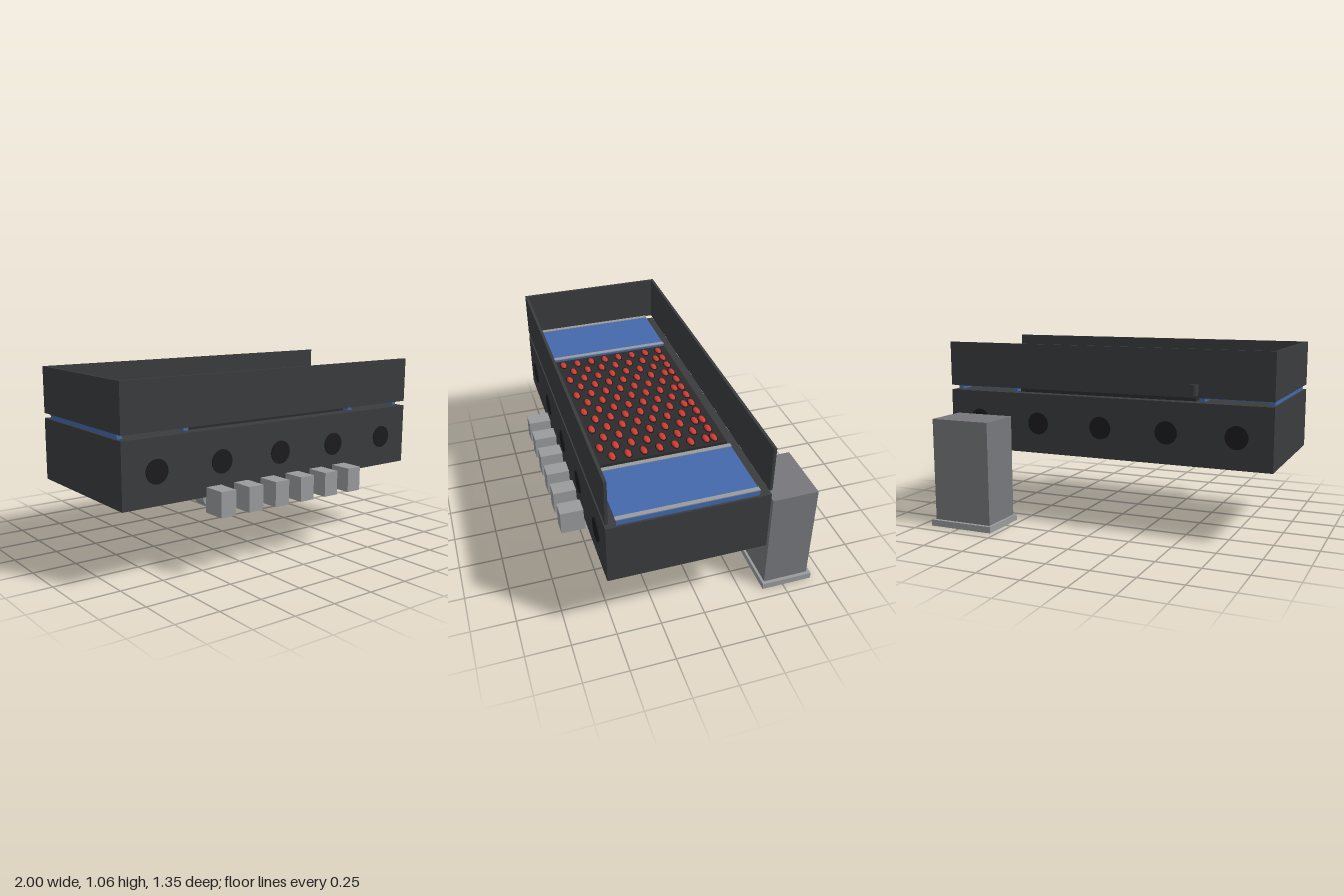
import * as THREE from 'three';

const mat = (color) => new THREE.MeshStandardMaterial({ color });
const dark = mat(0x3a3c3e), black = mat(0x1c1c1f), grill = mat(0x2c2c2c);
const blue = mat(0x4468ac), steel = mat(0x9a9b9d), tower = mat(0x77787c), red = mat(0xd23a32);

export function createModel() {
  const model = new THREE.Group();

  const add = (parent, name, geometry, material) => {
    const mesh = new THREE.Mesh(geometry, material);
    mesh.name = name;
    parent.add(mesh);
    return mesh;
  };
  // Box given by its extents on each axis
  const box = (parent, name, material, [x0, x1], [y0, y1], [z0, z1]) => {
    const mesh = add(parent, name, new THREE.BoxGeometry(x1 - x0, y1 - y0, z1 - z0), material);
    mesh.position.set((x0 + x1) / 2, (y0 + y1) / 2, (z0 + z1) / 2);
    return mesh;
  };
  const group = (name) => {
    const g = new THREE.Group();
    g.name = name;
    model.add(g);
    return g;
  };

  // Main housing
  box(model, 'housing', dark, [-1, 1], [0.415, 0.767], [-0.33, 0.54]);

  // Wind guard: front, back and one closed end
  const guard = group('windGuard');
  box(guard, 'frontWall', dark, [-1, 1], [0.795, 1.058], [0.524, 0.54]);
  box(guard, 'backWall', dark, [-1, 1], [0.795, 1.058], [-0.33, -0.314]);
  box(guard, 'endWall', dark, [-1, -0.984], [0.795, 1.058], [-0.314, 0.524]);

  // Side panels with raised edges and metal trim
  for (const side of [-1, 1]) {
    const panel = group(side < 0 ? 'rightPanel' : 'leftPanel');
    const c = side * 0.78;
    box(panel, 'panelTop', blue, [c - 0.21, c + 0.21], [0.783, 0.796], [-0.27, 0.483]);
    for (const edge of [-1, 1]) {
      const x = c + edge * 0.193;
      box(panel, 'panelRunner', blue, [x - 0.015, x + 0.015], [0.767, 0.783], [-0.27, 0.483]);
      box(panel, 'panelTrim', steel, [x - 0.013, x + 0.013], [0.794, 0.8], [-0.272, 0.485]);
    }
  }

  // Burner plate with staggered glowing ports
  const burner = group('burner');
  box(burner, 'burnerPlate', grill, [-0.55, 0.55], [0.767, 0.797], [-0.265, 0.465]);
  const portGeo = new THREE.SphereGeometry(1, 16, 10);
  const rimGeo = new THREE.TorusGeometry(1, 0.14, 6, 20).rotateX(Math.PI / 2);
  for (let col = 0; col < 12; col++) {
    for (let row = 0; row < 15; row++) {
      if (row % 2 !== col % 2 && row > 0) continue;
      const x = -0.497 + col * 0.09, z = -0.208 + row * 0.0443;
      const port = add(burner, 'port', portGeo, red);
      port.position.set(x, 0.797, z);
      port.scale.set(0.035, 0.013, 0.018);
      const rim = add(burner, 'portRim', rimGeo, black);
      rim.position.set(x, 0.797, z);
      rim.scale.set(0.037, 0.02, 0.02);
    }
  }

  // Round vents along front and back
  const vents = group('vents');
  const ventGeo = new THREE.CylinderGeometry(0.065, 0.065, 0.012, 32).rotateX(Math.PI / 2);
  for (let i = -2; i <= 2; i++) {
    for (const z of [0.54, -0.33]) {
      add(vents, 'vent', ventGeo, black).position.set(i * 0.4, 0.593, z);
    }
  }

  // Control blocks with short stems under the housing
  const controls = group('controls');
  const stemGeo = new THREE.CylinderGeometry(0.05, 0.05, 0.085, 24).rotateX(Math.PI / 2);
  for (let i = 0; i < 6; i++) {
    const x = -0.452 + i * 0.18;
    box(controls, 'controlBlock', steel, [x - 0.047, x + 0.047], [0.33, 0.468], [0.535, 0.672]);
    add(controls, 'controlStem', stemGeo, steel).position.set(x, 0.4, 0.473);
  }

  // Small peg on the back wall
  add(model, 'peg', new THREE.CylinderGeometry(0.023, 0.023, 0.058, 16), dark)
    .position.set(-0.563, 0.839, -0.345);

  // Freestanding tank behind
  const tank = group('tank');
  box(tank, 'tankBody', tower, [0.55, 0.915], [0.03, 0.635], [-0.653, -0.39]);
  box(tank, 'tankBase', steel, [0.535, 0.935], [0, 0.037], [-0.673, -0.376]);
  box(tank, 'tankPanel', black, [0.602, 0.865], [0.39, 0.58], [-0.391, -0.381]);

  return model;
}
